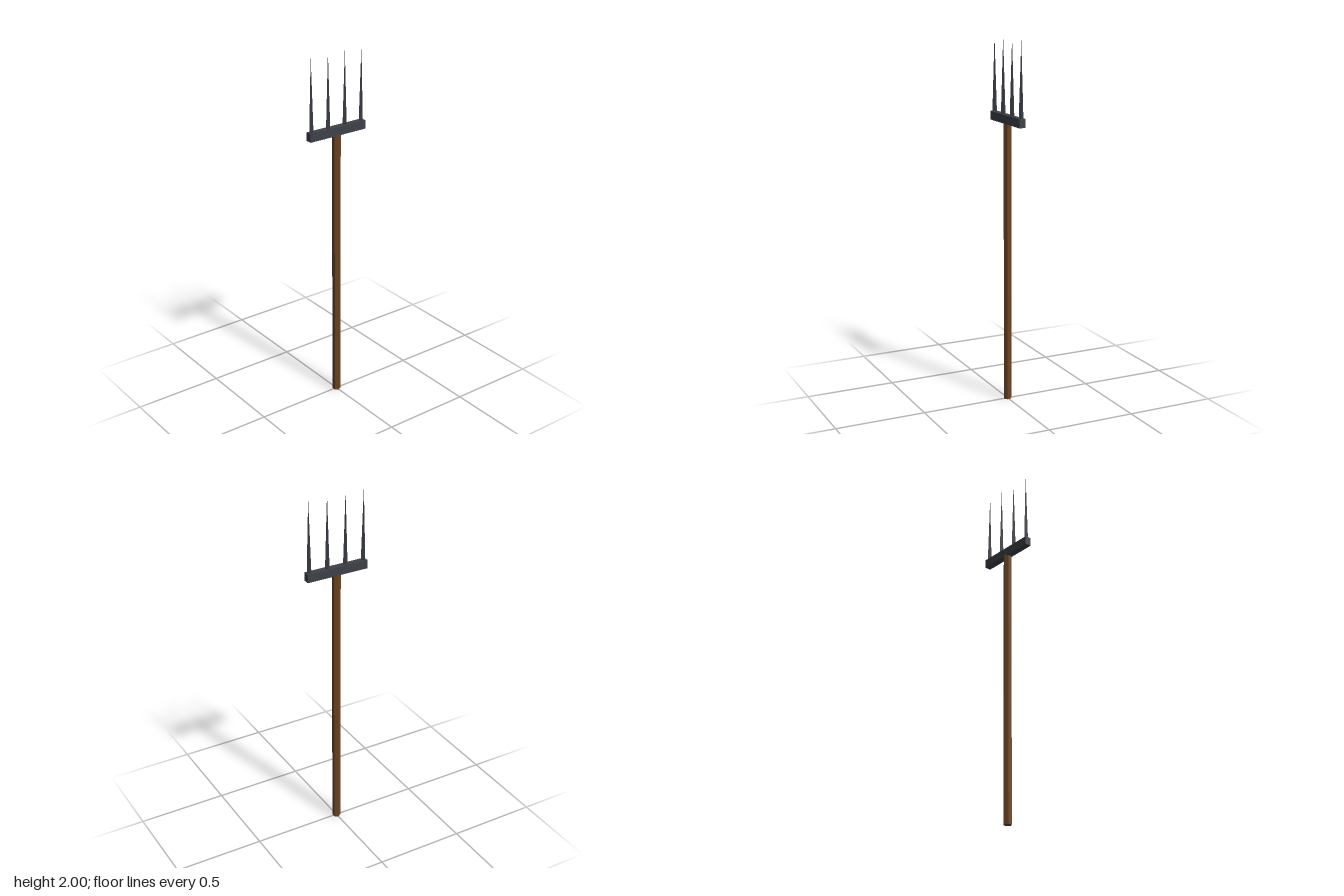
import * as THREE from 'three';

export function createModel() {
  const group = new THREE.Group();
  const wood = new THREE.MeshStandardMaterial({ color: 0x6b4423, flatShading: true });
  const iron = new THREE.MeshStandardMaterial({ color: 0x3d4148, flatShading: true });

  const add = (name, geometry, material, x, y) => {
    const mesh = new THREE.Mesh(geometry, material);
    mesh.name = name;
    mesh.position.set(x, y, 0);
    group.add(mesh);
  };

  // Six-sided wooden shaft, with ridges towards front and back
  const shaftHeight = 1.55;
  add('shaft', new THREE.CylinderGeometry(0.023, 0.023, shaftHeight, 6), wood, 0, shaftHeight / 2);

  // Iron crossbar
  const barBottom = 1.545, barTop = 1.592;
  add('crossbar', new THREE.BoxGeometry(0.356, barTop - barBottom, 0.036), iron, 0, (barBottom + barTop) / 2);

  // Four slender four-sided tines, standing on the crossbar
  const tineHeight = 2 - barTop;
  const tine = new THREE.ConeGeometry(0.0135, tineHeight, 4);
  for (let i = 0; i < 4; i++) {
    add('tine' + (i + 1), tine, iron, (i - 1.5) * 0.107, barTop + tineHeight / 2);
  }
  return group;
}
